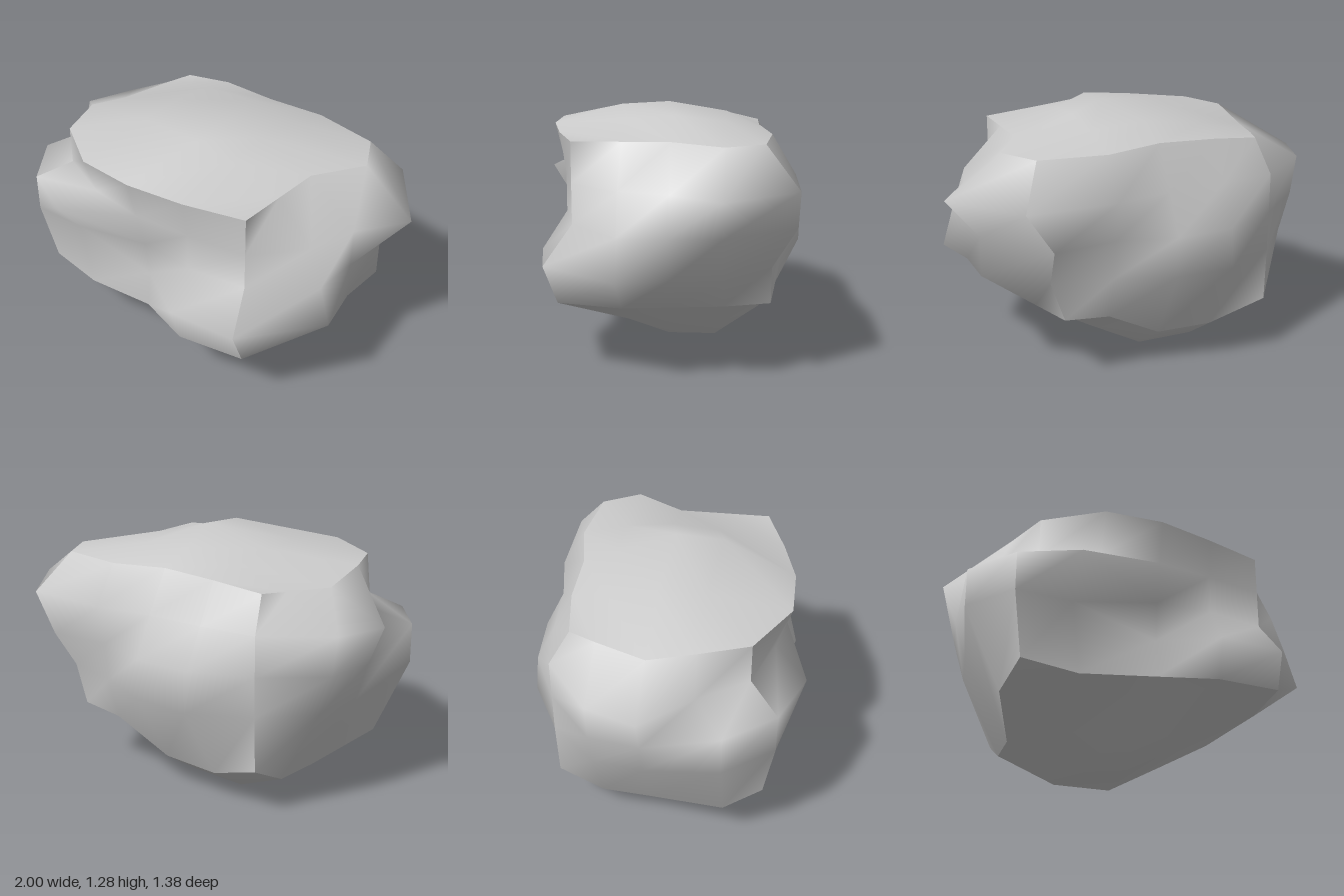
import * as THREE from 'three';

// Regular grid lines of the block, low to high on each axis
const X = [-0.61, -0.32, -0.02, 0.27, 0.57];
const Y = [0.34, 0.54, 0.74, 0.94, 1.14];
const Z = [-0.53, -0.3, -0.05, 0.19, 0.43];

// Surface depth of the upright sides: rows run from top to bottom
const front = [ // z, columns along +x
  [0.43, 0.6, 0.6, 0.53, 0.43],
  [0.43, 0.53, 0.55, 0.5, 0.43],
  [0.57, 0.69, 0.5, 0.5, 0.43],
  [0.57, 0.54, 0.48, 0.63, 0.57],
  [0.52, 0.52, 0.5, 0.57, 0.5],
];
const back = [ // z, columns along +x
  [-0.43, -0.47, -0.47, -0.53, -0.49],
  [-0.53, -0.57, -0.59, -0.65, -0.65],
  [-0.53, -0.67, -0.69, -0.61, -0.65],
  [-0.53, -0.69, -0.69, -0.59, -0.53],
  [-0.52, -0.47, -0.48, -0.53, -0.53],
];
const left = [ // x on the +x side, columns along +z
  [0.61, 0.72, 0.57, 0.57, 0.57],
  [0.72, 1.0, 0.84, 0.77, 0.57],
  [0.59, 0.84, 0.84, 0.84, 0.57],
  [0.57, 0.84, 0.84, 0.9, 0.62],
  [0.5, 0.57, 0.6, 0.63, 0.62],
];
const right = [ // x on the -x side, columns along +z
  [-0.57, -0.62, -0.7, -0.7, -0.61],
  [-0.61, -0.91, -1.0, -0.78, -0.61],
  [-0.61, -0.88, -0.92, -0.94, -0.75],
  [-0.61, -0.82, -0.86, -0.94, -0.75],
  [-0.61, -0.61, -0.62, -0.75, -0.7],
];

// Heights of the top and the keel-like underside: rows back to front, columns along +x
const top = [
  [1.11, 1.14, 1.15, 1.14, 1.14],
  [1.1, 1.18, 1.22, 1.2, 1.14],
  [1.08, 1.21, 1.28, 1.23, 1.14],
  [1.14, 1.21, 1.265, 1.21, 1.14],
  [1.14, 1.15, 1.15, 1.14, 1.14],
];
const bottom = [
  [0.26, 0.15, 0.16, 0.32, 0.34],
  [0.14, 0, 0, 0.17, 0.34],
  [0.13, 0, 0, 0.16, 0.34],
  [0.23, 0.13, 0.16, 0.17, 0.34],
  [0.33, 0.29, 0.34, 0.34, 0.36],
];

// Patches whose vertices slide along the surface: index ranges, then x, y, z offset
const slides = [
  { i: [0, 1], j: [1, 2], k: [3, 4], by: [-0.14, 0.11, 0.14] }, // front right spike
  { i: [2, 2], j: [4, 4], k: [2, 3], by: [0.11, 0, 0.04] }, // summit
  { i: [1, 2], j: [0, 0], k: [1, 2], by: [0, 0, 0.05] }, // foot
  { i: [0, 0], j: [0, 0], k: [3, 3], by: [0, 0, 0.14] }, // lower front right corner
  { i: [1, 1], j: [0, 0], k: [3, 4], by: [-0.1, 0, -0.03] }, // edge beside it
];
const within = (n, [low, high]) => n >= low && n <= high;

// Grid value inside the block, table value on its low or high side
const place = (n, grid, slide, low, high, row, col) =>
  n === 0 ? low[row][col] : n === 4 ? high[row][col] : grid[n] + slide;

export function createModel() {
  const geometry = new THREE.BoxGeometry(4, 4, 4, 4, 4, 4);
  const p = geometry.attributes.position;
  for (let v = 0; v < p.count; v++) {
    const [i, j, k] = [p.getX(v), p.getY(v), p.getZ(v)].map((c) => Math.round(c + 2));
    const patch = slides.find((s) => within(i, s.i) && within(j, s.j) && within(k, s.k));
    const [dx, dy, dz] = patch ? patch.by : [0, 0, 0];
    p.setXYZ(v,
      place(i, X, dx, right, left, 4 - j, k),
      place(j, Y, dy, bottom, top, k, i),
      place(k, Z, dz, back, front, 4 - j, i));
  }
  // Each of the six sides is smooth; the edges between them stay sharp
  geometry.computeVertexNormals();

  const rock = new THREE.Mesh(geometry, new THREE.MeshStandardMaterial({ color: 0xcccccc }));
  rock.name = 'rock';
  const group = new THREE.Group();
  group.name = 'boulder';
  group.add(rock);
  return group;
}
